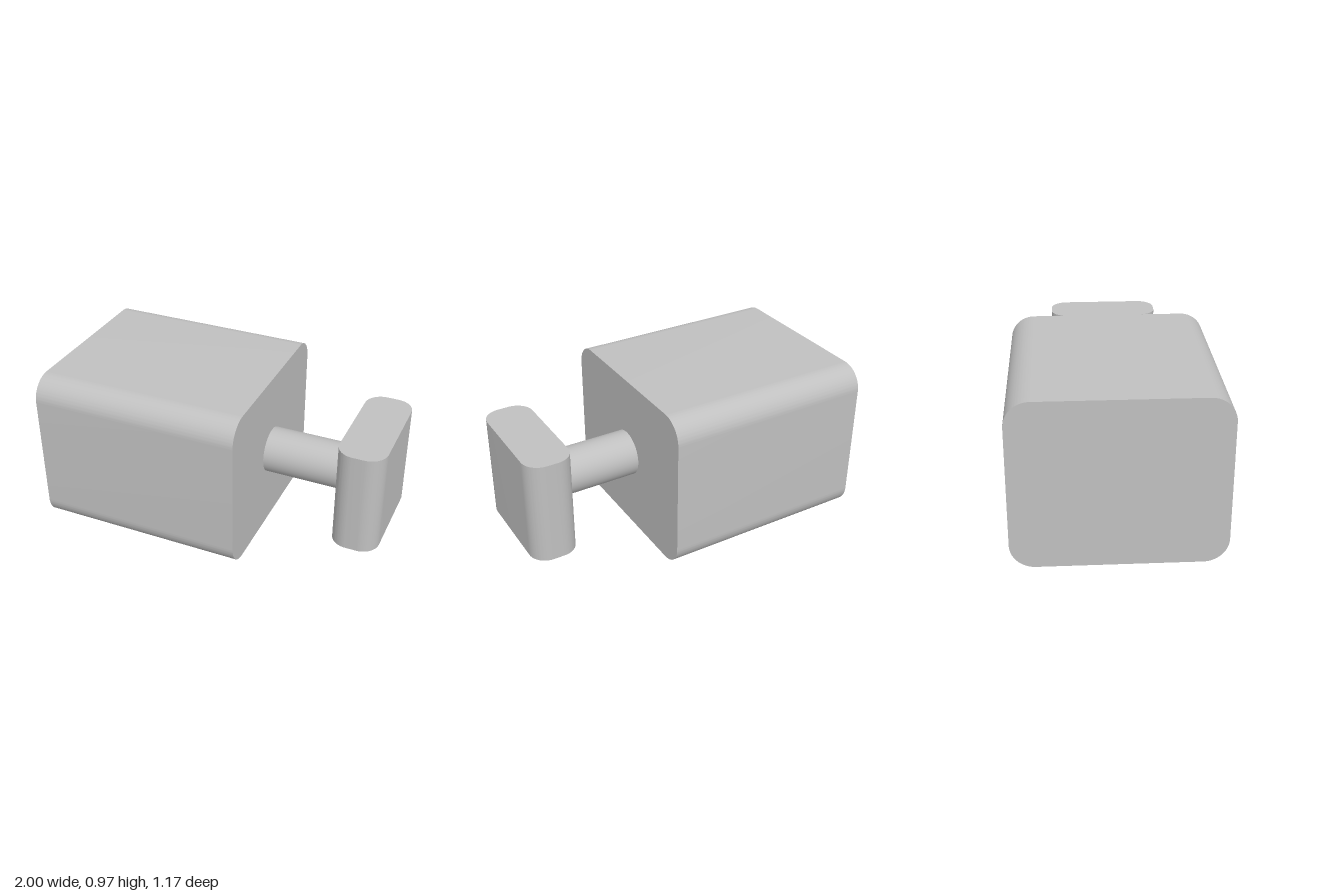
import * as THREE from 'three';
import { toCreasedNormals } from 'three/addons/utils/BufferGeometryUtils.js';

// Prism with a rounded-rectangle section, centred on the origin, running along z
function roundedPrism(width, height, radius, length) {
  const w = width / 2, h = height / 2, r = radius;
  const shape = new THREE.Shape();
  shape.moveTo(w, -h + r);
  shape.absarc(w - r, h - r, r, 0, Math.PI / 2);
  shape.absarc(-w + r, h - r, r, Math.PI / 2, Math.PI);
  shape.absarc(-w + r, -h + r, r, Math.PI, Math.PI * 1.5);
  shape.absarc(w - r, -h + r, r, Math.PI * 1.5, Math.PI * 2);
  const geometry = new THREE.ExtrudeGeometry(shape, { depth: length, bevelEnabled: false, curveSegments: 16 });
  geometry.translate(0, 0, -length / 2);
  return geometry;
}

export function createModel() {
  const group = new THREE.Group();
  group.name = 'knobAndBlock';
  const grey = new THREE.MeshStandardMaterial({ color: 0xc0c0c0 });
  grey.name = 'grey';

  const add = (name, geometry, x, y) => {
    const mesh = new THREE.Mesh(geometry, grey);
    mesh.name = name;
    mesh.position.set(x, y, 0);
    group.add(mesh);
  };

  const axisY = 0.484;

  // Main block, rounded along its length
  const body = roundedPrism(1.17, 0.966, 0.138, 1.238).rotateY(Math.PI / 2);
  add('body', toCreasedNormals(body, 0.5), -0.381, axisY);

  // Round shaft joining block and handle
  const shaft = new THREE.CylinderGeometry(0.137, 0.137, 0.486, 64).rotateZ(Math.PI / 2);
  add('shaft', shaft, 0.481, axisY);

  // Upright handle with rounded vertical edges
  const handle = roundedPrism(0.276, 0.688, 0.105, 0.62).rotateX(-Math.PI / 2);
  add('handle', toCreasedNormals(handle, 0.5), 0.862, axisY);

  return group;
}
